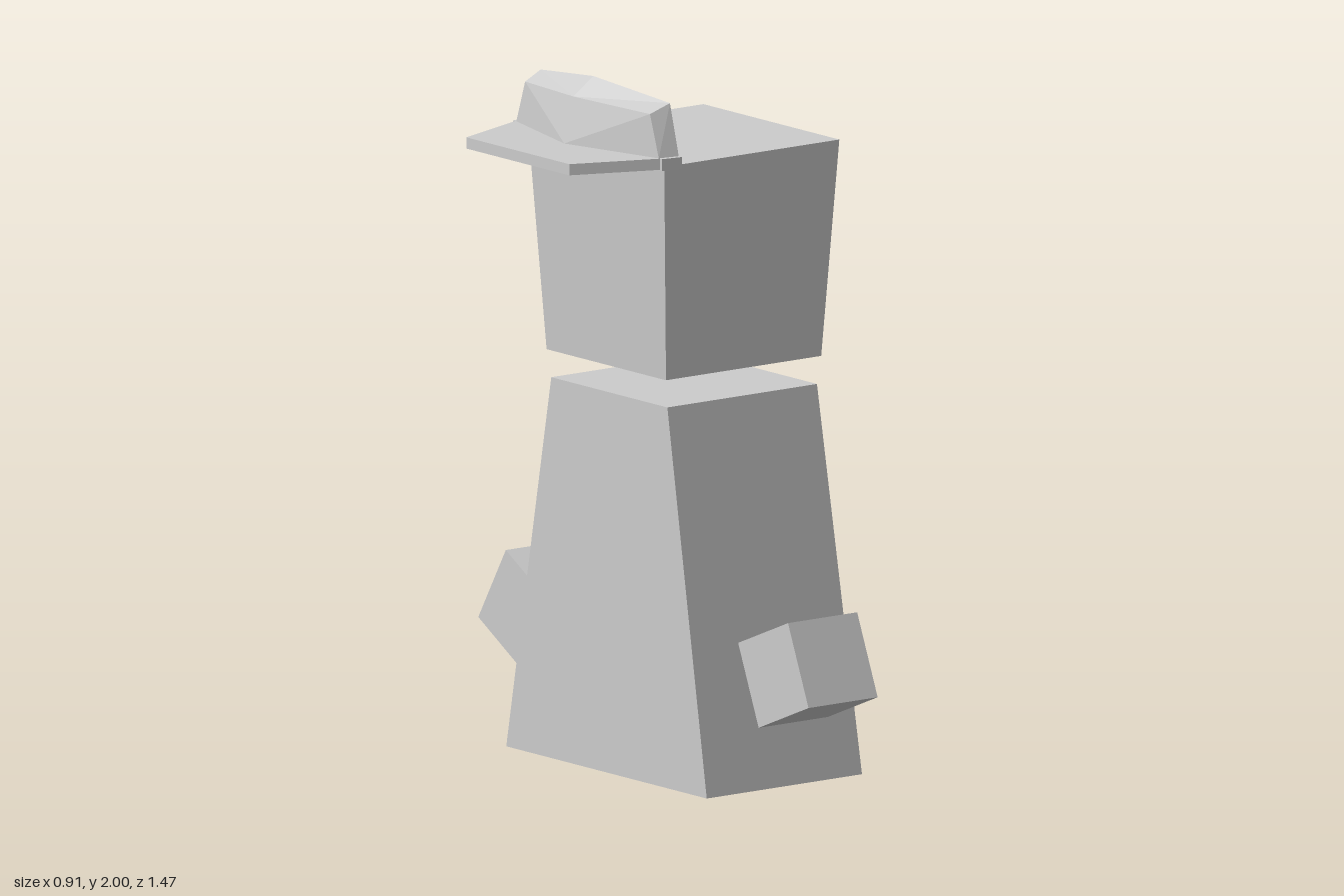
import * as THREE from 'three';

const material = new THREE.MeshStandardMaterial({ color: 0xcccccc, flatShading: true });

function addMesh(parent, name, geometry) {
  const mesh = new THREE.Mesh(geometry, material);
  mesh.name = name;
  parent.add(mesh);
  return mesh;
}

// Box whose bottom and top have different footprints [width, depth]
function taperedBox(bottom, top, height) {
  const geo = new THREE.BoxGeometry(1, height, 1);
  const p = geo.attributes.position;
  for (let i = 0; i < p.count; i++) {
    const [w, d] = p.getY(i) > 0 ? top : bottom;
    p.setX(i, p.getX(i) * w);
    p.setZ(i, p.getZ(i) * d);
  }
  geo.computeVertexNormals();
  return geo;
}

// Flat plate mirrored in z from a half outline of [x, z]; its top lies on y = 0
function plate(half, thickness) {
  const mirrored = [...half].reverse().map(([x, z]) => [x, -z]);
  const points = [...half, ...mirrored].map(([x, z]) => new THREE.Vector2(x, z));
  const geo = new THREE.ExtrudeGeometry(new THREE.Shape(points), { depth: thickness, bevelEnabled: false });
  return geo.rotateX(Math.PI / 2);
}

// Faceted solid from the polygons of its +z half, mirrored in z
function mirroredSolid(polygons) {
  const out = [];
  const fan = (poly) => {
    for (let i = 1; i < poly.length - 1; i++) out.push(...poly[0], ...poly[i], ...poly[i + 1]);
  };
  for (const poly of polygons) {
    fan(poly);
    const m = poly.map(([x, y, z]) => [x, y, -z]);
    fan([m[0], ...m.slice(1).reverse()]);
  }
  const geo = new THREE.BufferGeometry();
  geo.setAttribute('position', new THREE.Float32BufferAttribute(out, 3));
  geo.computeVertexNormals();
  return geo;
}

export function createModel() {
  const model = new THREE.Group();
  model.name = 'blockFigure';

  // Body and head
  addMesh(model, 'body', taperedBox([0.55, 0.915], [0.53, 0.53], 1.085)).position.set(0.143, 0.5425, 0.012);
  addMesh(model, 'head', taperedBox([0.55, 0.545], [0.62, 0.62], 0.62)).position.set(0.143, 1.475, 0.011);

  // Floating hands, tilted outwards
  for (const [name, x, z, tilt] of [['frontHand', 0.143, 0.577, -0.39], ['backHand', 0.115, -0.565, 0.535]]) {
    const hand = addMesh(model, name, new THREE.BoxGeometry(0.245, 0.246, 0.246));
    hand.position.set(x, 0.35, z);
    hand.rotation.x = tilt;
  }

  // Cap on the -x edge of the head
  const cap = new THREE.Group();
  cap.name = 'cap';
  cap.position.set(0, 1.82, 0.026);
  model.add(cap);
  addMesh(cap, 'capBrim', plate([[-0.205, 0.332], [-0.457, 0.235]], 0.032));
  addMesh(cap, 'capBand', plate([[-0.147, 0.35], [-0.21, 0.34]], 0.034));

  // Crown: base, rim and peak points from back to centre
  const [baseBack, baseSide, baseFront] = [[-0.147, 0, 0.335], [-0.21, 0, 0.325], [-0.293, 0, 0]];
  const [rimBack, rimSide, rimFront] = [[-0.147, 0.145, 0.295], [-0.21, 0.12, 0.285], [-0.26, 0.13, 0]];
  const peak = [-0.19, 0.18, 0];
  const baseMiddle = [-0.147, 0, 0];
  addMesh(cap, 'capCrown', mirroredSolid([
    [baseFront, baseSide, rimSide, rimFront],
    [baseSide, baseBack, rimBack, rimSide],
    [rimFront, rimSide, rimBack, peak],
    [peak, rimBack, baseBack, baseMiddle],
  ]));

  return model;
}
